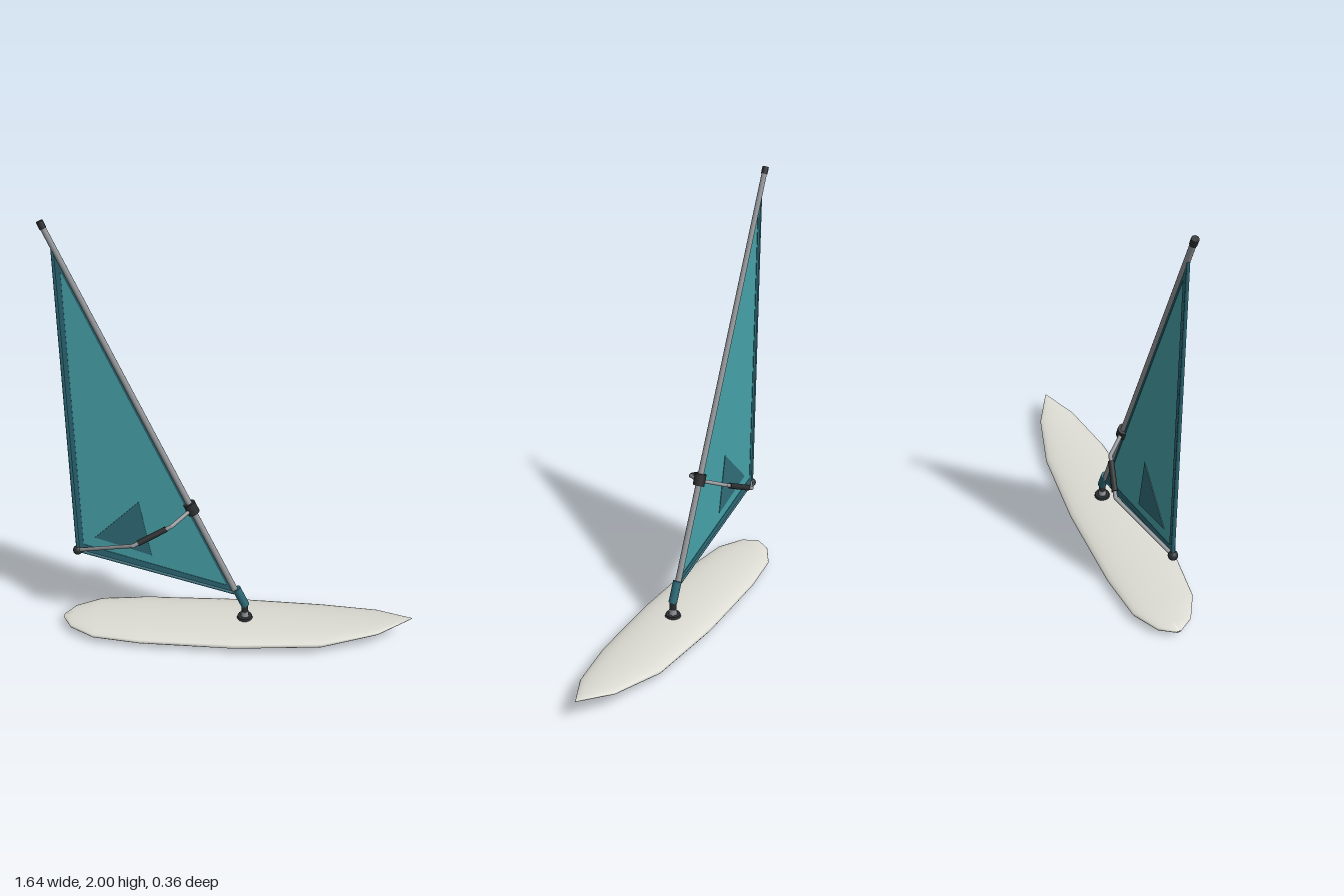
import * as THREE from 'three';

const mat = (name, color, side = THREE.FrontSide) => {
  const m = new THREE.MeshStandardMaterial({ color, side });
  m.name = name;
  return m;
};
const V = (x, y, z = 0) => new THREE.Vector3(x, y, z);

export function createModel() {
  const hullWhite = mat('hull white', 0xdcdcd4);
  const sailTeal = mat('sail teal', 0x46a0a8);
  const trimTeal = mat('trim teal', 0x2b6875);
  const patchTeal = mat('patch teal', 0x306c76);
  const metal = mat('mast grey', 0x94979a);
  const rubber = mat('black rubber', 0x2a2d2f);

  const model = new THREE.Group();
  model.name = 'windsurfer';
  const add = (name, geo, material, parent = model) => {
    const mesh = new THREE.Mesh(geo, material);
    mesh.name = name;
    parent.add(mesh);
    return mesh;
  };
  // Round bar between two points
  const rod = (name, a, b, rA, rB, material, parent, sides = 12) => {
    const dir = b.clone().sub(a);
    const mesh = add(name, new THREE.CylinderGeometry(rB, rA, dir.length(), sides), material, parent);
    mesh.position.copy(a).add(b).multiplyScalar(0.5);
    mesh.quaternion.setFromUnitVectors(V(0, 1), dir.normalize());
    return mesh;
  };
  // Flat plate centred on z = 0
  const plate = (name, pts, depth, material, parent) => {
    const shape = new THREE.Shape(pts.map(([x, y]) => new THREE.Vector2(x, y)));
    const geo = new THREE.ExtrudeGeometry(shape, { depth, bevelEnabled: false });
    geo.translate(0, 0, -depth / 2);
    return add(name, geo, material, parent);
  };

  // Board: lens-shaped sections [x, half width, bottom, rail, top]
  const stations = [
    [-0.82, 0.012, 0.034, 0.04, 0.046], [-0.775, 0.08, 0.016, 0.04, 0.059],
    [-0.66, 0.145, 0.007, 0.039, 0.067], [-0.44, 0.172, 0.003, 0.038, 0.071],
    [0, 0.18, 0, 0.038, 0.077], [0.4, 0.155, 0.014, 0.046, 0.081],
    [0.66, 0.09, 0.058, 0.08, 0.099], [0.82, 0.002, 0.108, 0.11, 0.112],
  ];
  const N = 24, pos = [], idx = [];
  for (const [x, w, bottom, rail, top] of stations) {
    for (let j = 0; j < N; j++) {
      const t = (j / N) * Math.PI * 2, c = Math.cos(t);
      pos.push(x, rail + c * (c > 0 ? top - rail : rail - bottom), w * Math.sin(t));
    }
  }
  for (let i = 0; i < stations.length - 1; i++) {
    for (let j = 0; j < N; j++) {
      const a = i * N + j, b = i * N + ((j + 1) % N);
      idx.push(a, b, a + N, b, b + N, a + N);
    }
  }
  // Close tail and nose
  const last = (stations.length - 1) * N;
  for (let j = 1; j < N - 1; j++) {
    idx.push(0, j + 1, j, last, last + j, last + j + 1);
  }
  const hull = new THREE.BufferGeometry();
  hull.setAttribute('position', new THREE.Float32BufferAttribute(pos, 3));
  hull.setIndex(idx);
  hull.computeVertexNormals();
  add('board', hull, hullWhite);

  // Mast foot with flexible joint
  const foot = new THREE.Group();
  foot.name = 'mastFoot';
  model.add(foot);
  rod('basePlate', V(0.04, 0.07), V(0.04, 0.088), 0.038, 0.034, rubber, foot, 20);
  rod('basePost', V(0.04, 0.085), V(0.04, 0.115), 0.019, 0.017, metal, foot, 16);
  rod('rubberJoint', V(0.04, 0.112), V(0.04, 0.155), 0.016, 0.016, rubber, foot, 16);
  rod('mastSocket', V(0.042, 0.148), V(0, 0.242), 0.02, 0.02, trimTeal, foot, 16);

  // Mast
  const mastAt = (y) => V(-0.438 * (y - 0.22), y);
  rod('mast', mastAt(0.22), mastAt(1.97), 0.0145, 0.012, metal, model, 16);
  rod('mastCap', mastAt(1.965), mastAt(1.994), 0.0145, 0.0145, rubber, model, 16);

  // Sail with hems and patch
  const sail = new THREE.Group();
  sail.name = 'sail';
  model.add(sail);
  const head = [-0.735, 1.88], tack = [0, 0.215], clew = [-0.728, 0.425];
  plate('sailPanel', [tack, head, clew], 0.004, sailTeal, sail);
  plate('leechHem', [clew, [-0.7, 0.42], [-0.709, 1.84], head], 0.008, trimTeal, sail);
  plate('footHem', [tack, [-0.016, 0.252], [-0.715, 0.465], clew], 0.008, trimTeal, sail);
  plate('luffHem', [tack, [-0.727, 1.875], [-0.74, 1.86], [-0.022, 0.21]], 0.008, trimTeal, sail);
  plate('clewPatch', [[-0.645, 0.5], [-0.388, 0.413], [-0.437, 0.7]], 0.0085, patchTeal, sail);
  rod('leechEdge', V(...clew), V(...head), 0.009, 0.007, trimTeal, sail, 8);
  rod('footEdge', V(...clew), V(...tack), 0.009, 0.009, trimTeal, sail, 8);

  // Wishbone boom
  const boom = new THREE.Group();
  boom.name = 'boom';
  model.add(boom);
  rod('boomClamp', mastAt(0.652), mastAt(0.702), 0.027, 0.027, rubber, boom, 16);
  add('boomEnd', new THREE.SphereGeometry(0.022, 16, 12), rubber, boom).position.set(-0.73, 0.425, 0);
  for (const s of [1, -1]) {
    const pts = [V(-0.195, 0.675), V(-0.28, 0.637, 0.093 * s), V(-0.45, 0.557, 0.141 * s), V(-0.73, 0.425)];
    for (let i = 0; i < 3; i++) rod('boomTube', pts[i], pts[i + 1], 0.009, 0.009, metal, boom, 10);
    for (const p of [pts[1], pts[2]]) {
      add('boomBend', new THREE.SphereGeometry(0.009, 10, 8), metal, boom).position.copy(p);
    }
    rod('boomGrip', pts[1].clone().lerp(pts[2], 0.14), pts[1].clone().lerp(pts[2], 0.86),
      0.0135, 0.0135, rubber, boom, 12);
  }
  return model;
}
